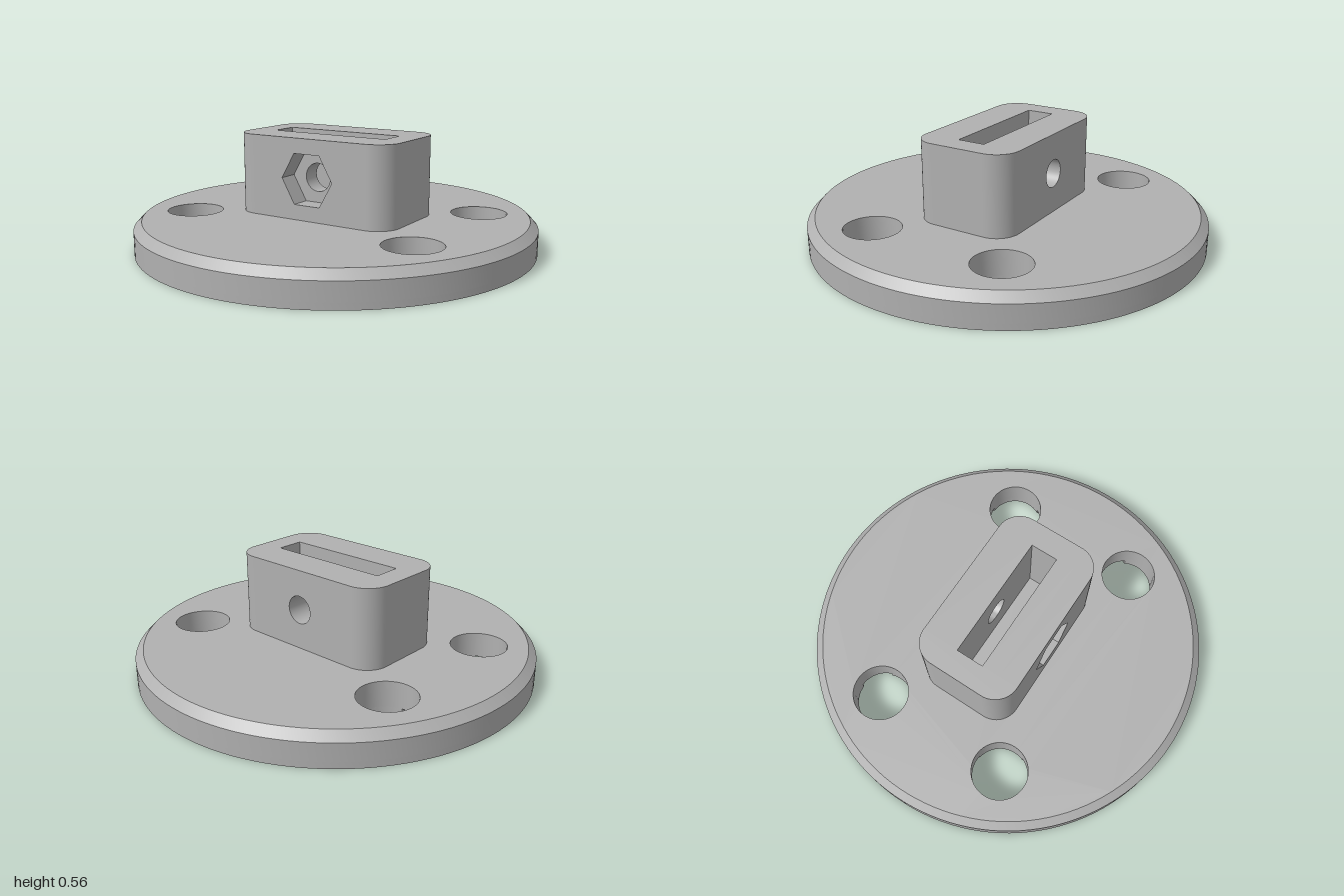
import * as THREE from 'three';
import { toCreasedNormals } from 'three/addons/utils/BufferGeometryUtils.js';

const BOLT_R = 0.14, BOLT_CIRCLE = 0.72;
const BOLT_ANGLES = [30, 150, 210, 330].map(THREE.MathUtils.degToRad);
const GROOVE = 0.032, TOP = 0.16, BOSS_TOP = 0.56, BORE_Y = 0.36;

// Points along an arc, leaving out the last one so arcs can be chained
function arc(cx, cy, r, from, to, n) {
  return Array.from({ length: n }, (_, i) => {
    const a = from + (to - from) * i / n;
    return new THREE.Vector2(cx + r * Math.cos(a), cy + r * Math.sin(a));
  });
}
const circle = (cx, cy, r, n = 48) => arc(cx, cy, r, 0, Math.PI * 2, n);

// Circle outline of radius R that detours around every bolt hole, outwards or inwards
function bittenCircle(R, outwards) {
  const half = Math.acos((R * R + BOLT_CIRCLE ** 2 - BOLT_R ** 2) / (2 * R * BOLT_CIRCLE));
  const bite = Math.atan2(R * Math.sin(half), R * Math.cos(half) - BOLT_CIRCLE);
  const points = [];
  BOLT_ANGLES.forEach((a, i) => {
    const next = i < 3 ? BOLT_ANGLES[i + 1] : BOLT_ANGLES[0] + Math.PI * 2;
    const cx = BOLT_CIRCLE * Math.cos(a), cy = BOLT_CIRCLE * Math.sin(a);
    points.push(...arc(cx, cy, BOLT_R, a - bite, a + bite - (outwards ? 0 : Math.PI * 2), 24));
    points.push(...arc(0, 0, R, a + half, next - half, 32));
  });
  return points;
}

function extrude(outline, holes, depth) {
  const shape = new THREE.Shape(outline);
  shape.holes = holes.map((points) => new THREE.Path(points));
  return new THREE.ExtrudeGeometry(shape, { depth, bevelEnabled: false });
}

export function createModel() {
  const model = new THREE.Group();
  model.name = 'flangeMount';
  const grey = new THREE.MeshStandardMaterial({ color: 0xb0b0b0 });
  grey.name = 'grey';

  function add(name, geometry, parent = model) {
    const mesh = new THREE.Mesh(toCreasedNormals(geometry, 0.5), grey);
    mesh.name = name;
    parent.add(mesh);
    return mesh;
  }
  // Extrusion standing upright between two heights
  const upright = (outline, holes, y0, y1) =>
    extrude(outline, holes, y1 - y0).rotateX(-Math.PI / 2).translate(0, y0, 0);

  // Flange: drilled plate, chamfered rim, and the two lands beside the underside groove
  const flange = new THREE.Group();
  flange.name = 'flange';
  model.add(flange);
  const bolts = BOLT_ANGLES.map((a) =>
    circle(BOLT_CIRCLE * Math.cos(a), BOLT_CIRCLE * Math.sin(a), BOLT_R));
  add('plate', upright(circle(0, 0, 0.96, 128), bolts, GROOVE, TOP), flange);
  const rim = [[1, GROOVE], [1, 0.12], [0.96, TOP]].map(([x, y]) => new THREE.Vector2(x, y));
  add('chamferedRim', new THREE.LatheGeometry(rim, 128), flange);
  add('outerLand', upright(circle(0, 0, 1, 128), [bittenCircle(0.8, true)], 0, GROOVE), flange);
  add('innerLand', upright(bittenCircle(0.64, false), [], 0, GROOVE), flange);

  // Boss: cross-bored walls either side of the slot, closed by rounded ends
  const boss = new THREE.Group();
  boss.name = 'boss';
  model.add(boss);
  const wall = [[-0.32, TOP], [0.32, TOP], [0.32, BOSS_TOP], [-0.32, BOSS_TOP]]
    .map(([x, y]) => new THREE.Vector2(x, y));
  const bore = circle(0, BORE_Y, 0.07);
  const hexagon = circle(0, BORE_Y, 0.144, 6);
  add('nutPocketWall', extrude(wall, [hexagon], 0.1).translate(0, 0, 0.16), boss);
  add('frontBoreWall', extrude(wall, [bore], 0.09).translate(0, 0, 0.07), boss);
  add('backBoreWall', extrude(wall, [bore], 0.19).translate(0, 0, -0.26), boss);

  const end = [
    new THREE.Vector2(0.32, -0.26),
    ...arc(0.32, -0.14, 0.12, -Math.PI / 2, 0, 16).slice(1),
    new THREE.Vector2(0.44, -0.14),
    ...arc(0.32, 0.14, 0.12, 0, Math.PI / 2, 16),
    new THREE.Vector2(0.32, 0.26),
  ];
  add('leftEnd', upright(end, [], TOP, BOSS_TOP), boss);
  add('rightEnd', upright(end, [], TOP, BOSS_TOP).rotateY(Math.PI), boss);

  return model;
}
